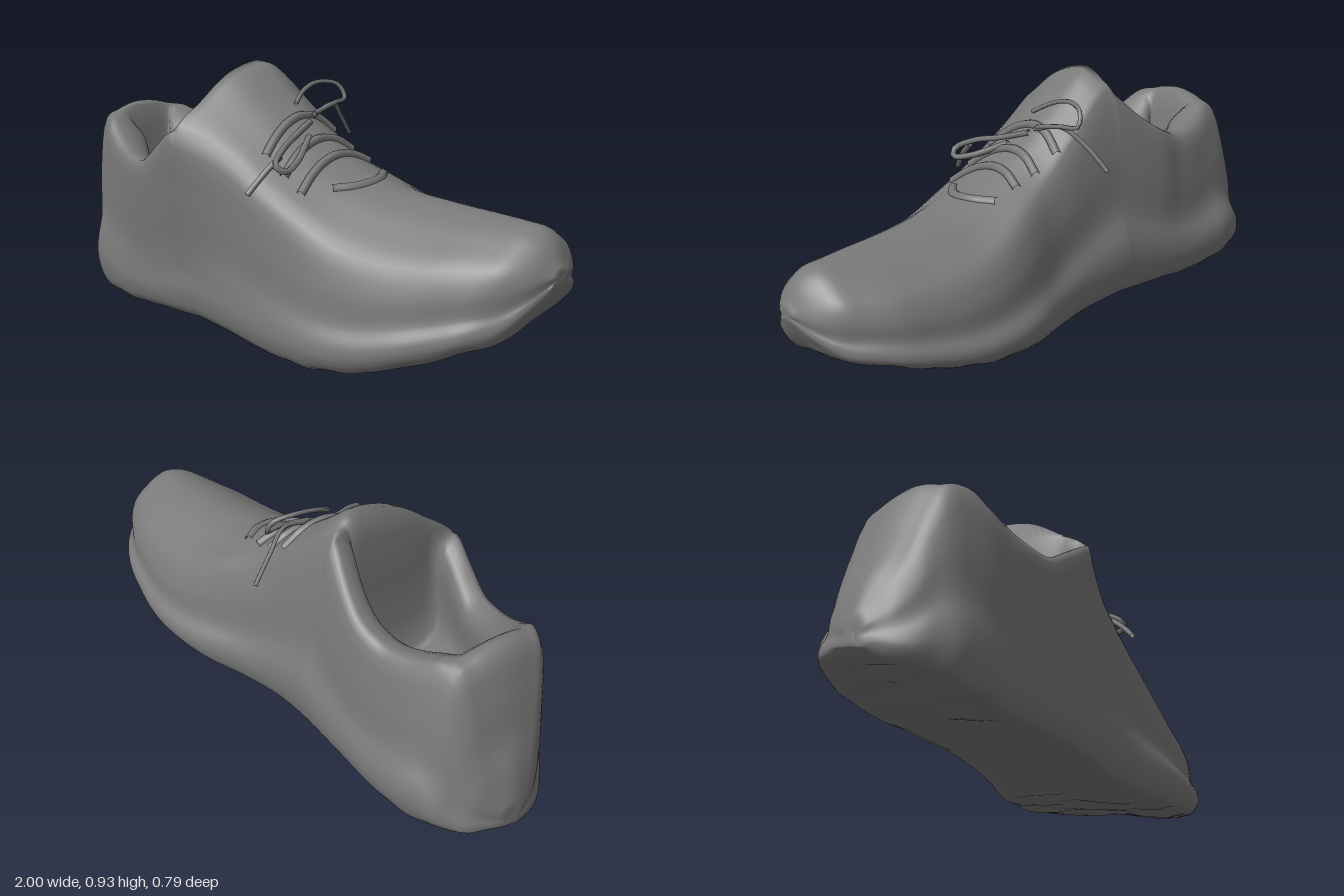
import * as THREE from 'three';

const grey = new THREE.MeshStandardMaterial({ color: 0x7a7a7a, side: THREE.DoubleSide });
const lerp = THREE.MathUtils.lerp;

// A profile along the shoe: straight runs between [x, value] points
const profile = (...pts) => x => {
  const k = Math.max(1, pts.findIndex(p => p[0] >= x));
  const [x0, v0] = pts[k - 1], [x1, v1] = pts[k];
  return lerp(v0, v1, (x - x0) / (x1 - x0));
};

// Sole: underside height and plan outline on the far (-z) and near (+z) sides
const soleBottom = profile([-1, .14], [-.97, .1], [-.93, .08], [-.8, .045], [-.65, .025], [-.25, .04], [.13, 0], [.4, .02], [.55, .045], [.75, .12], [.9, .19], [.97, .28], [1, .36]);
const farSole = profile([-1, .03], [-.985, -.04], [-.96, -.1], [-.88, -.175], [-.77, -.21], [0, -.24], [.2, -.34], [.33, -.385], [.55, -.4], [.75, -.365], [.88, -.31], [.96, -.21], [1, -.11]);
const nearSole = profile([-1, .1], [-.985, .16], [-.95, .23], [-.85, .315], [-.75, .34], [0, .32], [.3, .347], [.45, .33], [.62, .275], [.83, .17], [.95, .06], [1, -.05]);

// Upper edge: collar rim at the back, shoulder of the vamp in front
const farEdgeZ = profile([-1, .04], [-.96, -.03], [-.86, -.05], [-.78, -.07], [-.66, -.12], [-.45, -.16], [-.255, -.11], [.05, -.16], [.2, -.22], [.35, -.28], [.55, -.315], [.75, -.3], [.9, -.25], [.97, -.18], [1, -.11]);
const farEdgeY = profile([-1, .23], [-.94, .39], [-.86, .67], [-.8, .71], [-.66, .66], [-.53, .655], [-.36, .77], [-.255, .87], [-.08, .74], [.05, .62], [.35, .47], [.55, .43], [.9, .44], [1, .4]);
const nearEdgeZ = profile([-1, .1], [-.96, .17], [-.86, .25], [-.71, .31], [-.55, .35], [-.28, .385], [-.08, .31], [.35, .26], [.55, .22], [.75, .15], [.9, .08], [.97, .01], [1, -.06]);
const nearEdgeY = profile([-1, .22], [-.94, .37], [-.86, .66], [-.8, .71], [-.66, .62], [-.5, .565], [-.28, .71], [-.18, .69], [.05, .56], [.35, .42], [.55, .38], [.9, .41], [1, .4]);

// Ridge over the heel, tongue and toe
const ridgeZ = profile([-1, .07], [-.75, .13], [-.28, .1], [-.255, .01], [.35, -.03], [.55, -.07], [.88, -.1], [1, -.08]);
const ridgeY = profile([-1, .24], [-.975, .35], [-.94, .42], [-.9, .57], [-.86, .72], [-.82, .74], [-.76, .72], [-.255, .93], [-.18, .89], [.05, .7], [.2, .615], [.35, .56], [.55, .535], [.9, .52], [.96, .48], [1, .41]);
const collarPad = profile([-1, .13], [-.7, .13], [-.55, .09], [-.35, .07], [1, .07]);
const footbedY = .3;

// Half a cross-section: sole corner, sole wall, waist, upper wall, edge, then dome or padded collar
function halfSection(x, yb, z, ez, h, cz, cy, open) {
  const s = Math.sign(z - cz), H = h - yb;
  const pts = [
    [z - s * Math.min(.035, Math.abs(z - cz) * .3), yb], [z, yb + H * .12], [z, yb + H * .26],
    [lerp(z, ez, .3) - s * .004, yb + H * .42], [lerp(z, ez, .6) + s * .008, yb + H * .7], [ez, h],
  ];
  if (open) pts.push([ez - s * collarPad(x), h - .03], [ez - s * collarPad(x) * 1.1, cy + .04]);
  else for (const t of [.33, .66]) pts.push([lerp(ez, cz, t), h + (cy - h) * Math.sin(t * Math.PI / 2)]);
  return pts.map(([pz, py]) => new THREE.Vector3(x, py, pz));
}

function section(x) {
  const open = x > -.72 && x < -.27;
  const zL = farSole(x), zR = nearSole(x), cz = ridgeZ(x), cy = open ? footbedY : ridgeY(x);
  const yR = soleBottom(x), yL = yR + .18 * (zR - zL); // the shoe rolls to one side
  return [
    new THREE.Vector3(x, (yL + yR) / 2, (zL + zR) / 2),
    ...halfSection(x, yR, zR, nearEdgeZ(x), nearEdgeY(x), cz, cy, open),
    new THREE.Vector3(x, cy, cz),
    ...halfSection(x, yL, zL, farEdgeZ(x), farEdgeY(x), cz, cy, open).reverse(),
  ];
}

// Uneven tread, strongest under the forefoot and heel
const tread = (x, z) => .005 * THREE.MathUtils.smoothstep(Math.abs(x + .2), .2, .45)
  * (Math.sin(x * 46 + z * 9) + Math.sin(x * 29 - z * 14));

// Smooth loft through the sections, closed at heel and toe
function loft(rings, along, around) {
  const collapse = r => {
    const c = r.reduce((a, p) => a.add(p), new THREE.Vector3()).divideScalar(r.length);
    return r.map(() => c.clone());
  };
  const all = [collapse(rings[0]), ...rings, collapse(rings[rings.length - 1])];
  const rows = (all.length - 1) * along, cols = rings[0].length * around;
  const rails = rings[0].map((_, j) => new THREE.CatmullRomCurve3(all.map(r => r[j])));
  const pos = [], index = [];
  for (let i = 0; i <= rows; i++) {
    const loop = new THREE.CatmullRomCurve3(rails.map(c => c.getPoint(i / rows)), true);
    for (let j = 0; j < cols; j++) {
      const p = i === 0 || i === rows ? rails[0].getPoint(i / rows) : loop.getPoint(j / cols);
      const fromBottom = Math.min(j, cols - j) / around;
      if (fromBottom < 2 && Math.abs(p.x) < .94) p.y += tread(p.x, p.z) * (1 - fromBottom / 2);
      pos.push(p.x, Math.max(0, p.y), p.z);
      if (i < rows) {
        const a = i * cols + j, b = i * cols + (j + 1) % cols;
        index.push(a, a + cols, b, b, a + cols, b + cols);
      }
    }
  }
  const g = new THREE.BufferGeometry();
  g.setAttribute('position', new THREE.Float32BufferAttribute(pos, 3));
  g.setIndex(index);
  g.computeVertexNormals();
  return g;
}

// A point on the instep, lifted a little
function onUpper(x, z, lift) {
  const far = z < ridgeZ(x), ez = (far ? farEdgeZ : nearEdgeZ)(x), h = (far ? farEdgeY : nearEdgeY)(x);
  const t = THREE.MathUtils.clamp((z - ez) / (ridgeZ(x) - ez), 0, 1);
  return [x, h + (ridgeY(x) - h) * Math.sin(t * Math.PI / 2) + lift, z];
}

function lace(name, points, radius) {
  const curve = new THREE.CatmullRomCurve3(points.map(p => new THREE.Vector3(...p)));
  const m = new THREE.Mesh(new THREE.TubeGeometry(curve, 24, radius, 6), grey);
  m.name = name;
  return m;
}

export function createModel() {
  const shoe = new THREE.Group();
  shoe.name = 'shoe';

  // Sections crowd towards heel and toe; the tongue rises steeply between the two runs
  const steps = Array.from({ length: 13 }, (_, i) => i / 12);
  const xs = [...steps.map(t => -1 + .72 * t ** 1.7),
    ...steps.map(t => -.255 + 1.255 * Math.sin(t * Math.PI / 2))];
  const body = new THREE.Mesh(loft(xs.map(section), 4, 4), grey);
  body.name = 'soleAndUpper';
  shoe.add(body);

  // Laces sunk into the instep, and the edge of the vamp in front of them
  for (const x of [-.02, .07, .15])
    shoe.add(lace('crossLace', [-.13, -.06, .01, .08, .15, .21].map(z => onUpper(x + z * z * .8, z, .002)), .016));
  shoe.add(lace('vampEdge', [-.12, -.06, 0, .06, .12].map(z => onUpper(.3 - z * z * 4, z, -.006)), .018));

  // Bow with its loops and loose ends
  shoe.add(lace('farBowLoop', [[-.03, .8, .03], [-.06, .84, -.04], [-.07, .86, -.12], [-.05, .845, -.195],
    [-.03, .8, -.21], [-.01, .79, -.14], [0, .765, -.03]], .008));
  shoe.add(lace('farLaceEnd', [[0, .755, -.02], [-.02, .785, -.14], [-.06, .73, -.22], [-.09, .655, -.295]], .008));
  shoe.add(lace('nearBowLoop', [[.01, .74, 0], [.05, .7, .12], [.09, .68, .2], [.13, .64, .27],
    [.15, .62, .25], [.13, .635, .18], [.06, .7, .05]], .011));
  shoe.add(lace('nearLaceEnd', [[.1, .66, .22], [.09, .62, .27], [.08, .58, .31], [.07, .545, .34]], .01));
  return shoe;
}
